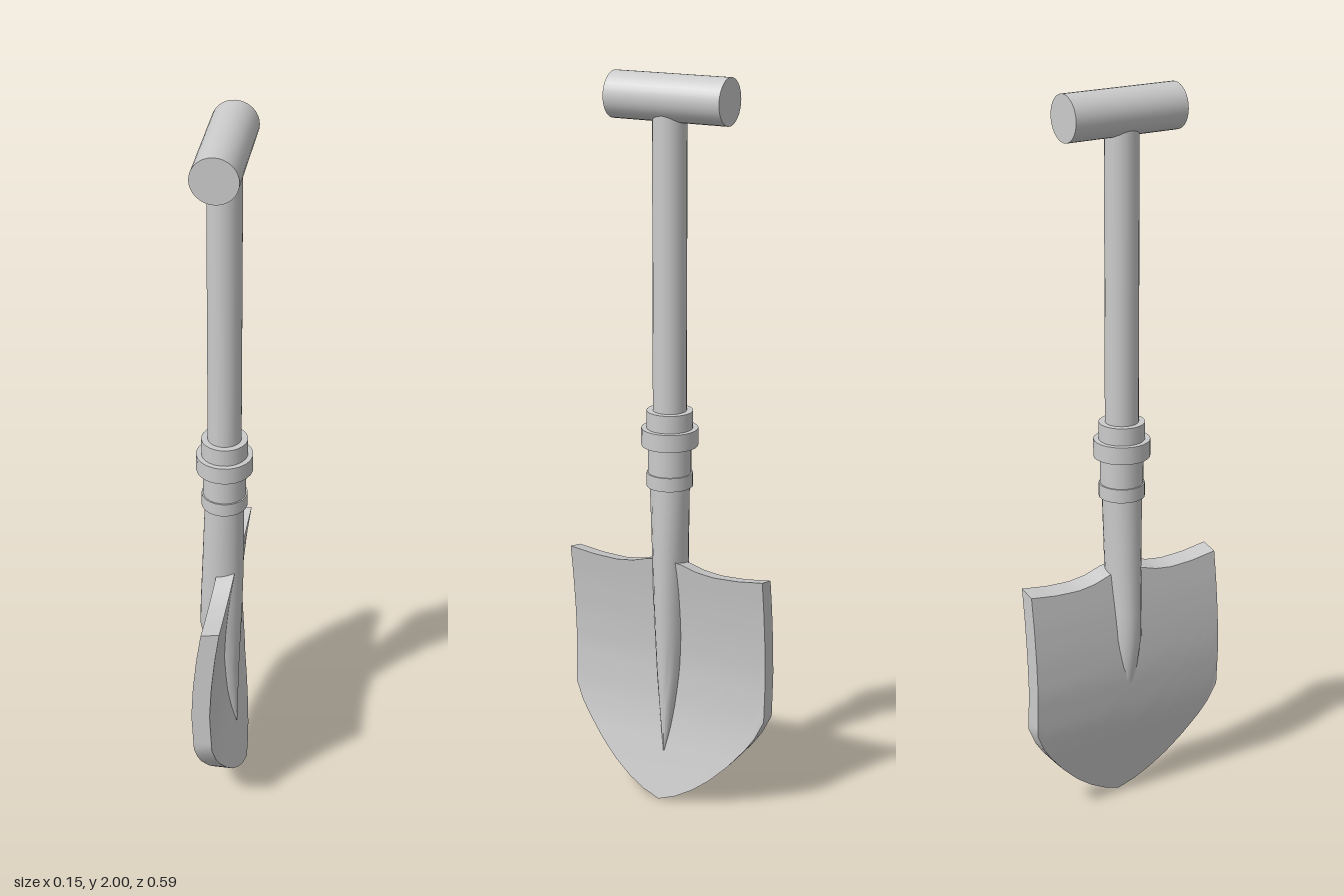
import * as THREE from 'three';
import { toCreasedNormals } from 'three/addons/utils/BufferGeometryUtils.js';

const material = new THREE.MeshStandardMaterial({ color: 0xcccccc });

// Piecewise-linear lookup: rows are [key, value, value, ...] with rising keys
function lookup(rows, key, column = 1) {
  let i = 1;
  while (i < rows.length - 1 && key > rows[i][0]) i++;
  const a = rows[i - 1], b = rows[i];
  const t = THREE.MathUtils.clamp((key - a[0]) / (b[0] - a[0]), 0, 1);
  return THREE.MathUtils.lerp(a[column], b[column], t);
}

// Move every vertex of a geometry by a rule
function reshape(geometry, rule) {
  const p = geometry.attributes.position;
  for (let i = 0; i < p.count; i++) p.setXYZ(i, ...rule(p.getX(i), p.getY(i), p.getZ(i)));
  return toCreasedNormals(geometry, 0.6);
}

// Bent pointed blade, wide in z and thin in x
function bladeGeometry() {
  const topEdge = [[0, 0.7], [0.05, 0.695], [0.1, 0.68], [0.15, 0.674], [0.22, 0.677], [0.295, 0.687]];
  const bottomEdge = [[0, 0.004], [0.05, 0.022], [0.1, 0.05], [0.15, 0.088], [0.2, 0.137],
    [0.25, 0.197], [0.28, 0.242], [0.295, 0.28]];
  const bend = [[0, 0.042], [0.1, 0.019], [0.2, -0.003], [0.28, -0.014], [0.4, -0.02],
    [0.5, -0.015], [0.6, -0.005], [0.7, 0.009]];
  return reshape(new THREE.BoxGeometry(0.05, 1, 0.59, 1, 16, 24), (x, y, z) => {
    const t = y + 0.5, side = Math.abs(z);
    const h = THREE.MathUtils.lerp(lookup(bottomEdge, side), lookup(topEdge, side), t);
    return [x + lookup(bend, h), h + x * 0.2 * t * t, z];
  });
}

// Tapering socket that flows into a rib on the blade
function socketGeometry() {
  // height, back x, front x, half depth in z
  const rows = [[0.14, 0.012, 0.037, 0.003], [0.2, -0.01, 0.038, 0.014], [0.28, -0.028, 0.04, 0.024],
    [0.36, -0.043, 0.042, 0.033], [0.5, -0.069, 0.047, 0.043], [0.58, -0.067, 0.05, 0.045],
    [0.7, -0.062, 0.053, 0.047], [0.93, -0.053, 0.053, 0.055]];
  const n = rows.length - 1;
  return reshape(new THREE.CylinderGeometry(1, 1, 1, 20, n), (x, y, z) => {
    const [h, back, front, depth] = rows[Math.round((y + 0.5) * n)];
    return [(back + front) / 2 + x * (front - back) / 2, h, z * depth];
  });
}

export function createModel() {
  const model = new THREE.Group();
  const add = (name, geometry) => {
    const mesh = new THREE.Mesh(geometry, material);
    mesh.name = name;
    model.add(mesh);
    return mesh;
  };

  add('blade', bladeGeometry());
  add('socket', socketGeometry());

  // Shaft and its stacked collars: name, bottom, top, radius
  const rings = [
    ['shaft', 0.95, 1.92, 0.045],
    ['socketBand', 0.908, 0.946, 0.062],
    ['neck', 0.93, 1.03, 0.058],
    ['lockingCollar', 1.022, 1.07, 0.076],
    ['upperCollar', 1.06, 1.118, 0.062],
  ];
  for (const [name, bottom, top, radius] of rings) {
    add(name, new THREE.CylinderGeometry(radius, radius, top - bottom, 24)).position.y = (bottom + top) / 2;
  }

  // Crosswise grip
  const grip = add('grip', new THREE.CylinderGeometry(0.061, 0.061, 0.332, 32));
  grip.rotation.x = Math.PI / 2;
  grip.position.set(0, 1.939, -0.005);

  return model;
}
